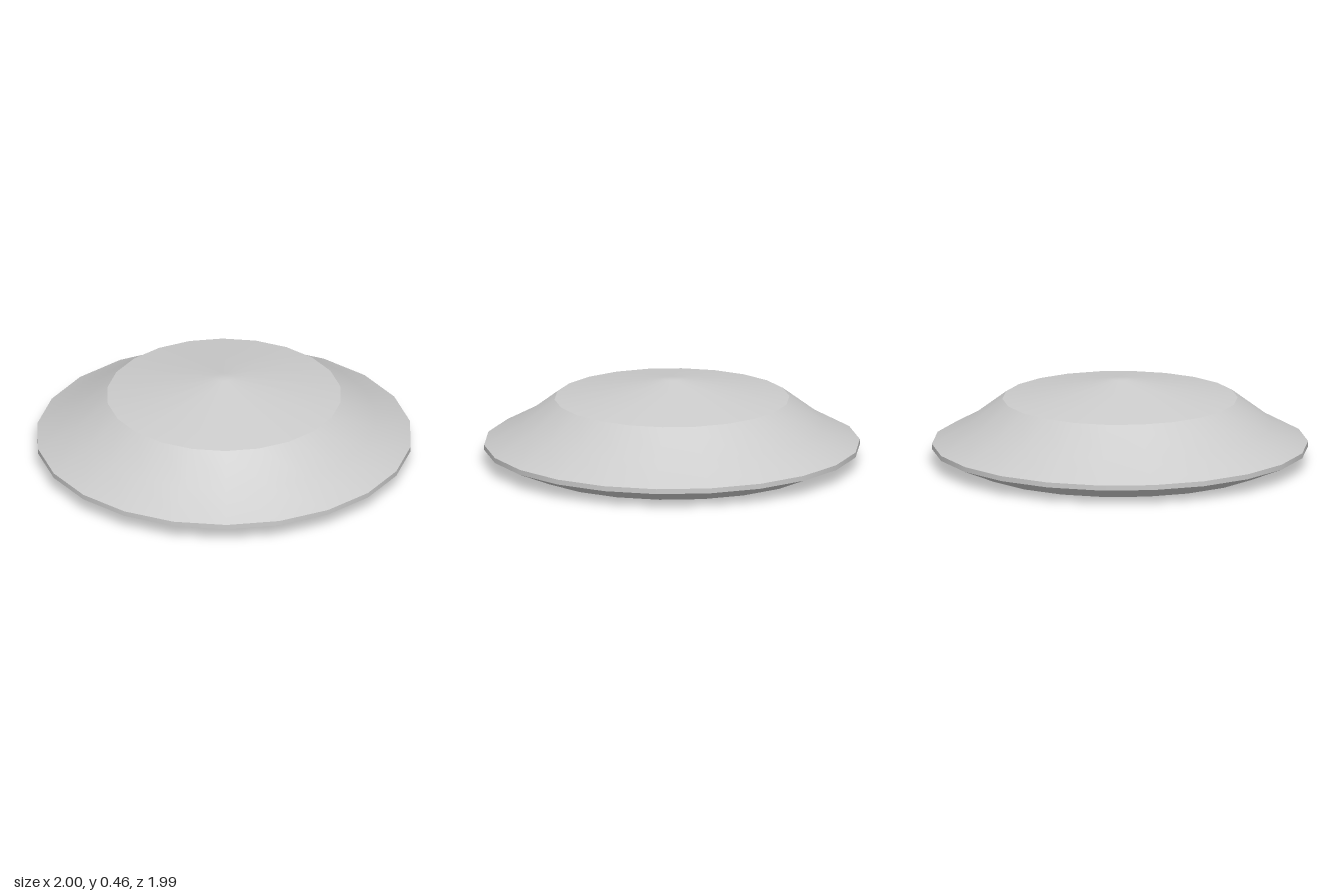
import * as THREE from 'three';

const SIDES = 22;
const PHASE = 1.54; // turns the polygon so a corner sits just in front of +x

// Profile corners, [radius, height], from the hollow underside up to the crown
const bands = [
  ['base', [0, 0.07], [0.81, 0]],
  ['underside', [0.81, 0], [1, 0.08]],
  ['rim', [1, 0.08], [1, 0.107]],
  ['skirtAndShoulder', [1, 0.107], [0.81, 0.21], [0.625, 0.35]],
  ['domeAndCrown', [0.625, 0.35], [0.045, 0.455], [0, 0.455]],
];

export function createModel() {
  const model = new THREE.Group();
  model.name = 'saucer';
  const material = new THREE.MeshStandardMaterial({ color: 0xcccccc });

  // One lathe per band: smooth within a band, sharp between bands
  for (const [name, ...corners] of bands) {
    const profile = corners.map(([r, y]) => new THREE.Vector2(r, y));
    const mesh = new THREE.Mesh(new THREE.LatheGeometry(profile, SIDES, PHASE), material);
    mesh.name = name;
    model.add(mesh);
  }
  return model;
}
